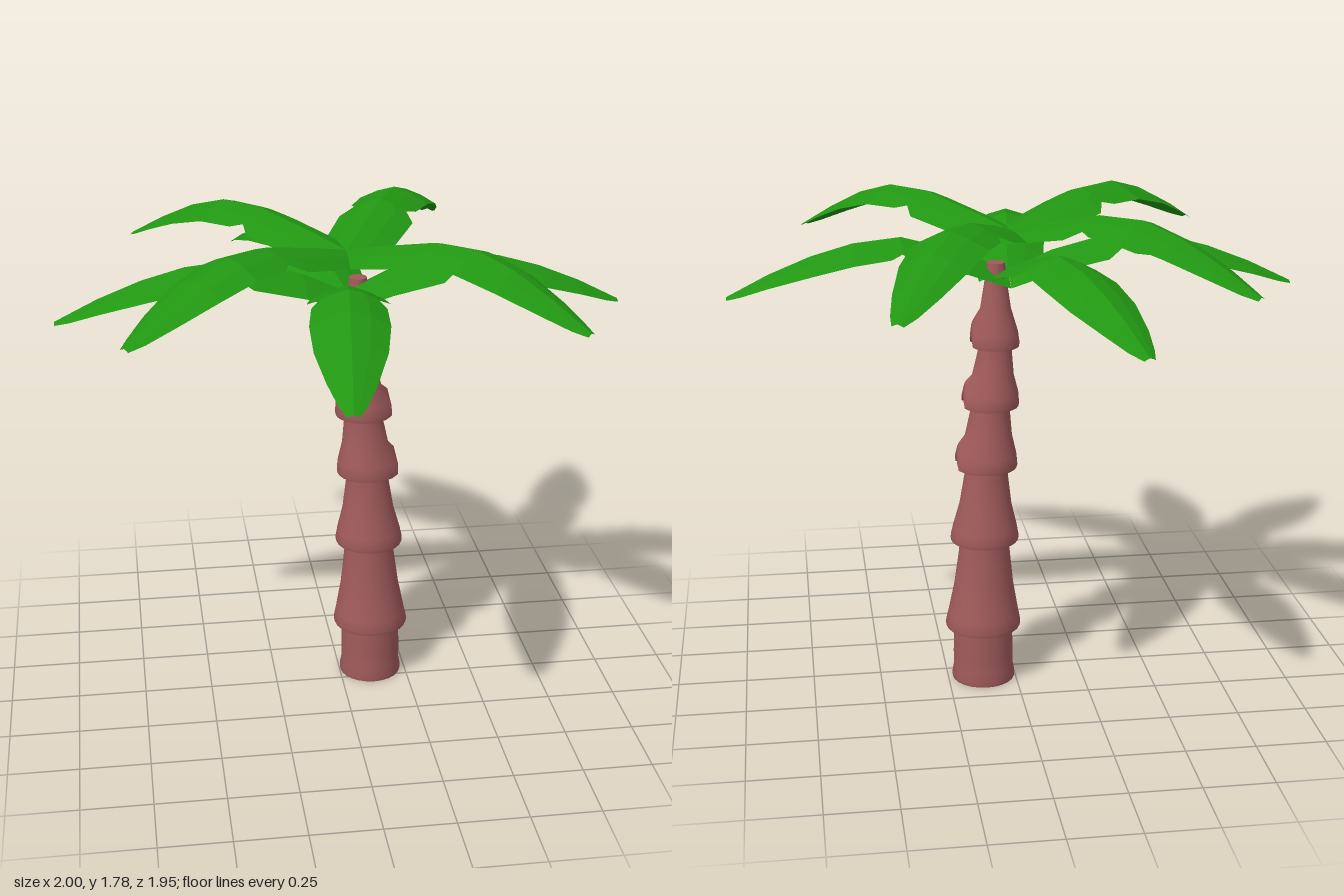
import * as THREE from 'three';
import { toCreasedNormals } from 'three/addons/utils/BufferGeometryUtils.js';

const bark = new THREE.MeshStandardMaterial({ color: 0xa05a5a, side: THREE.DoubleSide });
const green = new THREE.MeshStandardMaterial({ color: 0x219612, side: THREE.DoubleSide, flatShading: true });

// Linear lookup in a list of [t, value] stations
function sample(list, t) {
  for (let i = 1; i < list.length; i++) {
    const [t0, a] = list[i - 1], [t1, b] = list[i];
    if (t <= t1) return a + (b - a) * (t - t0) / (t1 - t0);
  }
  return list[list.length - 1][1];
}

// The trunk leans slightly towards -x
const LEAN = [[0, 0.118], [0.21, 0.118], [0.55, 0.111], [0.83, 0.103], [1.06, 0.087], [1.28, 0.069], [1.6, 0.066]];
const TRUNK_Z = -0.066;

function barkSegment(y0, y1, rHem, rTop, notch) {
  const h = y1 - y0;
  const profile = [
    [0, 0], [rHem * 0.98, 0], [rHem, 0.012], [rHem * 0.94, 0.05],
    [rTop + (rHem - rTop) * 0.42, h * 0.45], [rTop + (rHem - rTop) * 0.12, h * 0.8], [rTop, h], [0, h],
  ].map(([r, y]) => new THREE.Vector2(r, y0 + y));
  const geo = new THREE.LatheGeometry(profile, 24);
  const p = geo.attributes.position;
  for (let i = 0; i < p.count; i++) {
    let x = p.getX(i), y = p.getY(i);
    const z = p.getZ(i), r = Math.hypot(x, z);
    // Torn hem on the +x side of the upper segments
    if (notch && r > 0.02 && y < y0 + 0.06) {
      const a = Math.abs(Math.atan2(z, x));
      y += 0.045 * Math.max(0, 1 - a / 0.6);
      x += 0.012 * Math.max(0, 1 - Math.abs(a - 0.5) / 0.4);
    }
    p.setXYZ(i, x + sample(LEAN, y), y, z + TRUNK_Z);
  }
  return new THREE.Mesh(toCreasedNormals(geo, 0.7), bark);
}

// Half width along a frond, with a break a third of the way out
const WIDTH = [[0, 0.1], [0.15, 0.13], [0.33, 0.14], [0.38, 0.1], [0.42, 0.125], [0.55, 0.132],
  [0.7, 0.118], [0.85, 0.08], [0.95, 0.045], [1, 0.02]];
// Ridge heights of the two tiers
const UPPER = [[0, 1.69], [0.15, 1.73], [0.38, 1.782], [0.55, 1.785], [0.7, 1.742], [0.85, 1.672], [1, 1.59]];
const LOWER = [[0, 1.54], [0.15, 1.61], [0.38, 1.67], [0.55, 1.652], [0.7, 1.61], [0.85, 1.55], [1, 1.475]];
const ROOT = [0.02, -0.03];

function frond(tipX, tipZ, ridge) {
  const dx = tipX - ROOT[0], dz = tipZ - ROOT[1], length = Math.hypot(dx, dz);
  const rows = WIDTH.length - 1, cols = 4;
  const geo = new THREE.PlaneGeometry(2, 1, cols, rows);
  const p = geo.attributes.position;
  for (let i = 0; i < p.count; i++) {
    const [t, w] = WIDTH[rows - Math.floor(i / (cols + 1))];
    const u = p.getX(i);
    p.setXYZ(i, u * w, sample(ridge, t) - 0.4 * w * Math.abs(u) ** 1.4, -t * length);
  }
  geo.computeVertexNormals();
  const mesh = new THREE.Mesh(geo, green);
  mesh.position.set(ROOT[0], 0, ROOT[1]);
  mesh.rotation.y = Math.atan2(-dx, -dz);
  return mesh;
}

export function createModel() {
  const model = new THREE.Group();
  model.name = 'palmTree';

  // Trunk of stacked, flared segments
  const trunk = new THREE.Group();
  trunk.name = 'trunk';
  [
    [0, 0.24, 0.117, 0.107, false],
    [0.21, 0.57, 0.139, 0.088, false],
    [0.55, 0.85, 0.125, 0.074, false],
    [0.83, 1.09, 0.112, 0.066, true],
    [1.06, 1.31, 0.102, 0.055, true],
    [1.28, 1.58, 0.086, 0.032, true],
  ].forEach((s, i) => {
    const seg = barkSegment(...s);
    seg.name = `barkSegment${i + 1}`;
    trunk.add(seg);
  });

  // Crown: four upper and four lower fronds, given by their tips
  const crown = new THREE.Group();
  crown.name = 'crown';
  const tiers = {
    upperFrond: [UPPER, [[0.71, 0.67], [-0.77, 0.61], [-0.7, -0.73], [0.47, -0.9]]],
    lowerFrond: [LOWER, [[1, -0.02], [-0.1, 0.97], [-1, -0.03], [-0.29, -0.97]]],
  };
  for (const [name, [ridge, tips]] of Object.entries(tiers)) {
    tips.forEach(([x, z], i) => {
      const leaf = frond(x, z, ridge);
      leaf.name = `${name}${i + 1}`;
      crown.add(leaf);
    });
  }

  model.add(trunk, crown);
  return model;
}
